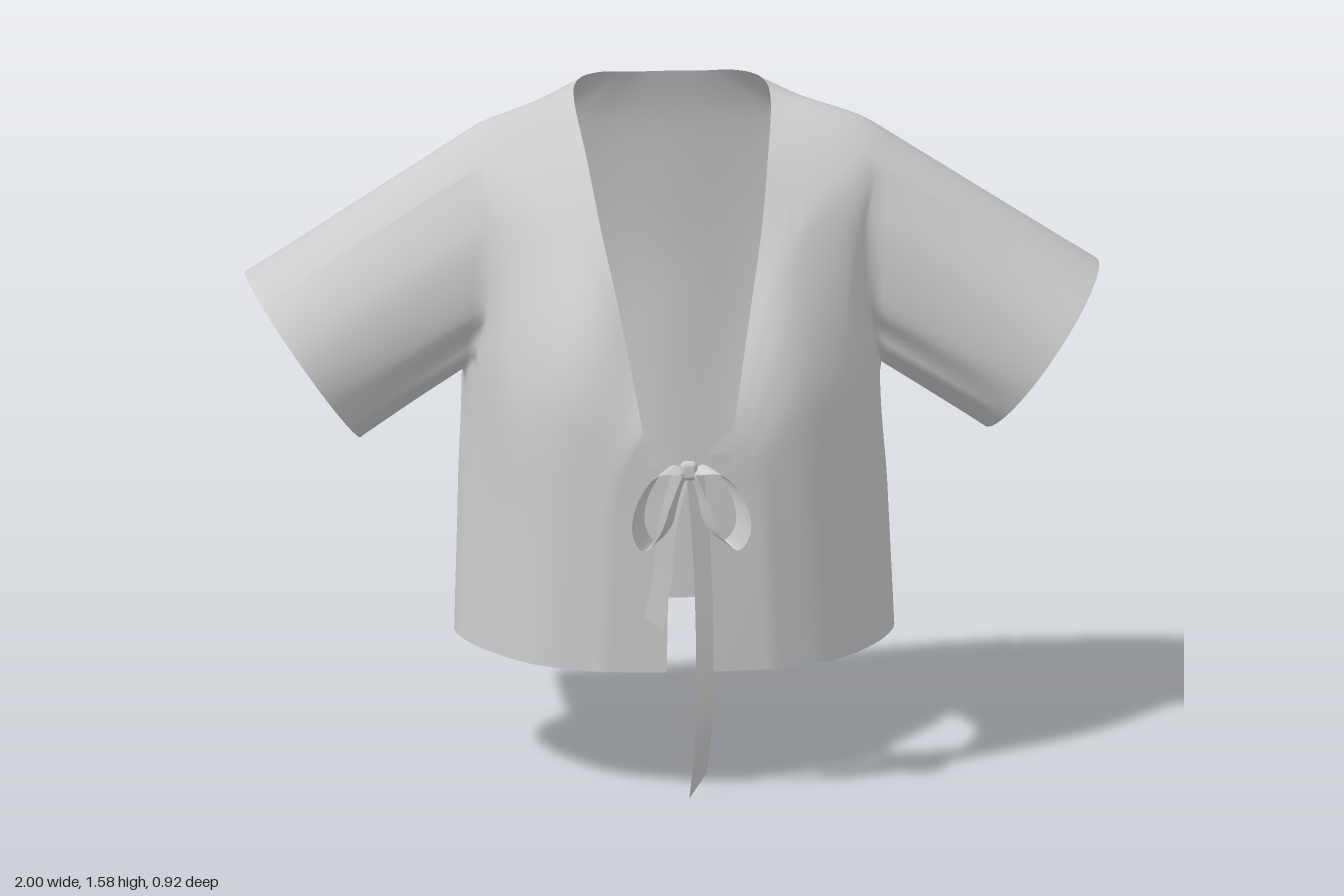
import * as THREE from 'three';
import { mergeVertices } from 'three/addons/utils/BufferGeometryUtils.js';
import { RoundedBoxGeometry } from 'three/addons/geometries/RoundedBoxGeometry.js';

const V = (x, y, z) => new THREE.Vector3(x, y, z);
const STEP = 8; // subdivisions between guide points

// Guide columns of the left half, hem to neckline: hem, armpit, chest, upper chest, shoulder, neckline
const frontColumns = [
  [[.05, .3, .34], [.045, .65, .345], [.045, .72, .345], [.04, .76, .345], [.035, .79, .345], [.03, .815, .345]],
  [[.2, .3, .325], [.18, .72, .335], [.16, .79, .34], [.14, .83, .342], [.122, .86, .342], [.107, .885, .34]],
  [[.335, .3, .255], [.31, .85, .272], [.28, .97, .28], [.238, 1.07, .268], [.195, 1.13, .247], [.155, 1.15, .23]],
  [[.415, .3, .16], [.415, .9, .15], [.4, 1.05, .132], [.36, 1.2, .108], [.29, 1.3, .1], [.188, 1.31, .12]],
  [[.485, .3, .02], [.47, .98, -.05], [.455, 1.1, 0], [.45, 1.28, -.01], [.45, 1.43, -.08], [.212, 1.45, -.015]],
];
const backColumns = [
  [[.515, .3, -.12], [.49, .91, -.2], [.6, 1.08, -.2], [.6, 1.3, -.2], [.47, 1.485, -.2], [.23, 1.55, -.18]],
  [[.485, .3, -.25], [.475, .98, -.35], [.46, 1.1, -.4], [.45, 1.28, -.4], [.455, 1.43, -.33], [.215, 1.575, -.29]],
  [[.385, .295, -.375], [.395, .9, -.42], [.38, 1.1, -.44], [.36, 1.28, -.43], [.3, 1.45, -.41], [.16, 1.575, -.365]],
  [[.2, .29, -.44], [.2, .9, -.465], [.2, 1.1, -.46], [.19, 1.28, -.445], [.17, 1.45, -.42], [.08, 1.57, -.384]],
  [[0, .29, -.435], [0, .9, -.45], [0, 1.1, -.452], [0, 1.28, -.44], [0, 1.45, -.42], [0, 1.57, -.388]],
];
const columns = [...frontColumns, ...backColumns].map((c) => {
  const pts = c.map((p) => V(...p));
  pts.splice(1, 0, pts[0].clone().lerp(pts[1], .55)); // waist row
  return pts;
});
const LAST = columns.length - 1, ROWS = 6;
const HOLE = { u0: 4, u1: 6, v0: 2, v1: 5 }; // armhole in guide units

function catmull(p0, p1, p2, p3, t) {
  const f = (k) => .5 * (2 * p1[k] + (p2[k] - p0[k]) * t
    + (2 * p0[k] - 5 * p1[k] + 4 * p2[k] - p3[k]) * t * t
    + (3 * p1[k] - p0[k] - 3 * p2[k] + p3[k]) * t * t * t);
  return V(f('x'), f('y'), f('z'));
}

// Point of the cloth at column u, row v; columns past the centre back are mirrored
function cloth(u, v) {
  const j = Math.min(Math.floor(v), ROWS - 1);
  const along = (i) => {
    const c = columns[i > LAST ? 2 * LAST - i : i];
    const p = catmull(c[Math.max(j - 1, 0)], c[j], c[j + 1], c[Math.min(j + 2, ROWS)], v - j);
    if (i > LAST) p.x *= -1;
    return p;
  };
  const i = Math.min(Math.floor(u), LAST - 1);
  const a = along(i), b = along(i + 1);
  if (i === 0) return a.lerp(b, u); // straight front flap, leaving a corner in the neckline
  const before = i === 1 ? a.clone().multiplyScalar(2).sub(b) : along(i - 1);
  return catmull(before, a, b, along(i + 2), u - i);
}

// Collects quads and their mirror images into one smooth surface
class Surface {
  constructor() { this.data = []; }
  tri(...pts) { for (const p of pts) this.data.push(p.x, p.y, p.z); }
  quad(a, b, c, d, mirrored = false) {
    this.tri(a, b, c); this.tri(a, c, d);
    if (mirrored) {
      const m = [a, b, c, d].map((p) => V(-p.x, p.y, p.z));
      this.tri(m[0], m[2], m[1]); this.tri(m[0], m[3], m[2]);
    }
  }
  build() {
    const g = new THREE.BufferGeometry();
    g.setAttribute('position', new THREE.Float32BufferAttribute(this.data, 3));
    const merged = mergeVertices(g, 1e-4);
    merged.computeVertexNormals();
    return merged;
  }
}

function garmentGeometry() {
  const s = new Surface(), S = STEP;
  // Torso, skipping the armhole
  for (let i = 0; i < LAST * S; i++) {
    for (let j = 0; j < ROWS * S; j++) {
      if (i >= HOLE.u0 * S && i < HOLE.u1 * S && j >= HOLE.v0 * S && j < HOLE.v1 * S) continue;
      s.quad(cloth(i / S, j / S), cloth((i + 1) / S, j / S),
        cloth((i + 1) / S, (j + 1) / S), cloth(i / S, (j + 1) / S), true);
    }
  }
  // Armhole border, running round the sleeve
  const rim = [], { u0, u1, v0, v1 } = HOLE;
  const w = (u1 - u0) * S, h = (v1 - v0) * S;
  for (let k = 0; k < w; k++) rim.push(cloth(u0 + k / S, v0));
  for (let k = 0; k < h; k++) rim.push(cloth(u1, v0 + k / S));
  for (let k = 0; k < w; k++) rim.push(cloth(u1 - k / S, v1));
  for (let k = 0; k < h; k++) rim.push(cloth(u0, v1 - k / S));
  // Sleeve lofted from the armhole to the slanted, flared cuff
  const sleevePoint = (p, t) => {
    const a = Math.atan2((p.y - 1.2) / .29, (p.z + .2) / .205);
    const cuff = V(.865 + .135 * Math.sin(a), .949 + .193 * Math.sin(a), -.197 + .242 * Math.cos(a));
    const q = p.clone().lerp(cuff, t);
    q.z = THREE.MathUtils.lerp(p.z, cuff.z, t * t);
    return q;
  };
  const rings = 14;
  for (let r = 0; r < rings; r++) {
    rim.forEach((p, k) => {
      const n = rim[(k + 1) % rim.length];
      s.quad(sleevePoint(p, r / rings), sleevePoint(n, r / rings),
        sleevePoint(n, (r + 1) / rings), sleevePoint(p, (r + 1) / rings), true);
    });
  }
  return s.build();
}

// Short ribbon stitches threaded along the collar
function stitchGeometry() {
  const s = new Surface();
  const at = (u, inset) => {
    const edge = cloth(u, ROWS), inner = cloth(u, ROWS - .4);
    const v = ROWS - Math.min(.4 * inset / edge.distanceTo(inner), .9);
    const p = cloth(u, v), e = .02;
    const du = cloth(u + e, v).sub(cloth(u - e, v)), dv = cloth(u, v).sub(cloth(u, v - e));
    return p.addScaledVector(du.cross(dv).normalize(), .008);
  };
  for (const u of [1.6, 2.1, 2.6, 3.1, 3.6, 4.15, 4.8, 7.2, 8.4]) {
    const len = .06 / cloth(u - .1, ROWS).distanceTo(cloth(u + .1, ROWS)) * .2;
    for (let k = 0; k < 4; k++) {
      const a = u + (k / 4 - .5) * len, b = u + ((k + 1) / 4 - .5) * len;
      s.quad(at(a, .085), at(b, .085), at(b, .055), at(a, .055), true);
    }
  }
  return s.build();
}

// Flat ribbon along a path; slant shears the far end
function ribbonGeometry(points, across, slant = 0) {
  const curve = new THREE.CatmullRomCurve3(points.map((p) => V(...p)));
  const half = V(...across).multiplyScalar(.5), s = new Surface(), n = 28;
  const edge = (k, side) => {
    const p = curve.getPoint(k / n).addScaledVector(half, side);
    p.y += side * slant * k / n;
    return p;
  };
  for (let k = 0; k < n; k++) s.quad(edge(k, -1), edge(k + 1, -1), edge(k + 1, 1), edge(k, 1));
  return s.build();
}

export function createModel() {
  const fabric = new THREE.MeshStandardMaterial({ color: 0xcccccc, side: THREE.DoubleSide });
  fabric.name = 'light grey fabric';
  const group = new THREE.Group();
  group.name = 'jacket';
  const add = (name, geometry, parent = group) => {
    const mesh = new THREE.Mesh(geometry, fabric);
    mesh.name = name;
    parent.add(mesh);
    return mesh;
  };

  add('jacketBodyAndSleeves', garmentGeometry());
  add('collarStitches', stitchGeometry());

  // Front tie
  const bow = new THREE.Group();
  bow.name = 'bow';
  group.add(bow);
  add('knot', new RoundedBoxGeometry(.04, .045, .03, 3, .012), bow).position.set(0, .79, .36);
  for (const [name, m] of [['left', 1], ['right', -1]]) {
    add(name + 'Loop', ribbonGeometry([[0, .79, .36], [.06 * m, .795, .385], [.11 * m, .74, .42],
      [.123 * m, .67, .435], [.095 * m, .622, .415], [.058 * m, .65, .39], [.025 * m, .73, .37], [0, .79, .36]],
    [.032 * m, -.014, .046]), bow);
    add(name + 'Tie', ribbonGeometry([[.1 * m, .815, .352], [.05 * m, .81, .357], [0, .79, .36]], [0, .03, 0]), bow);
  }
  add('longTail', ribbonGeometry([[.015, .79, .36], [.03, .6, .364], [.037, .35, .37], [.034, .15, .366],
    [.022, .03, .355]], [.042, 0, -.02], .028), bow);
  add('shortTail', ribbonGeometry([[-.02, .78, .362], [-.05, .66, .362], [-.06, .55, .36], [-.082, .42, .36]],
    [.042, 0, .01], -.015), bow);
  return group;
}
